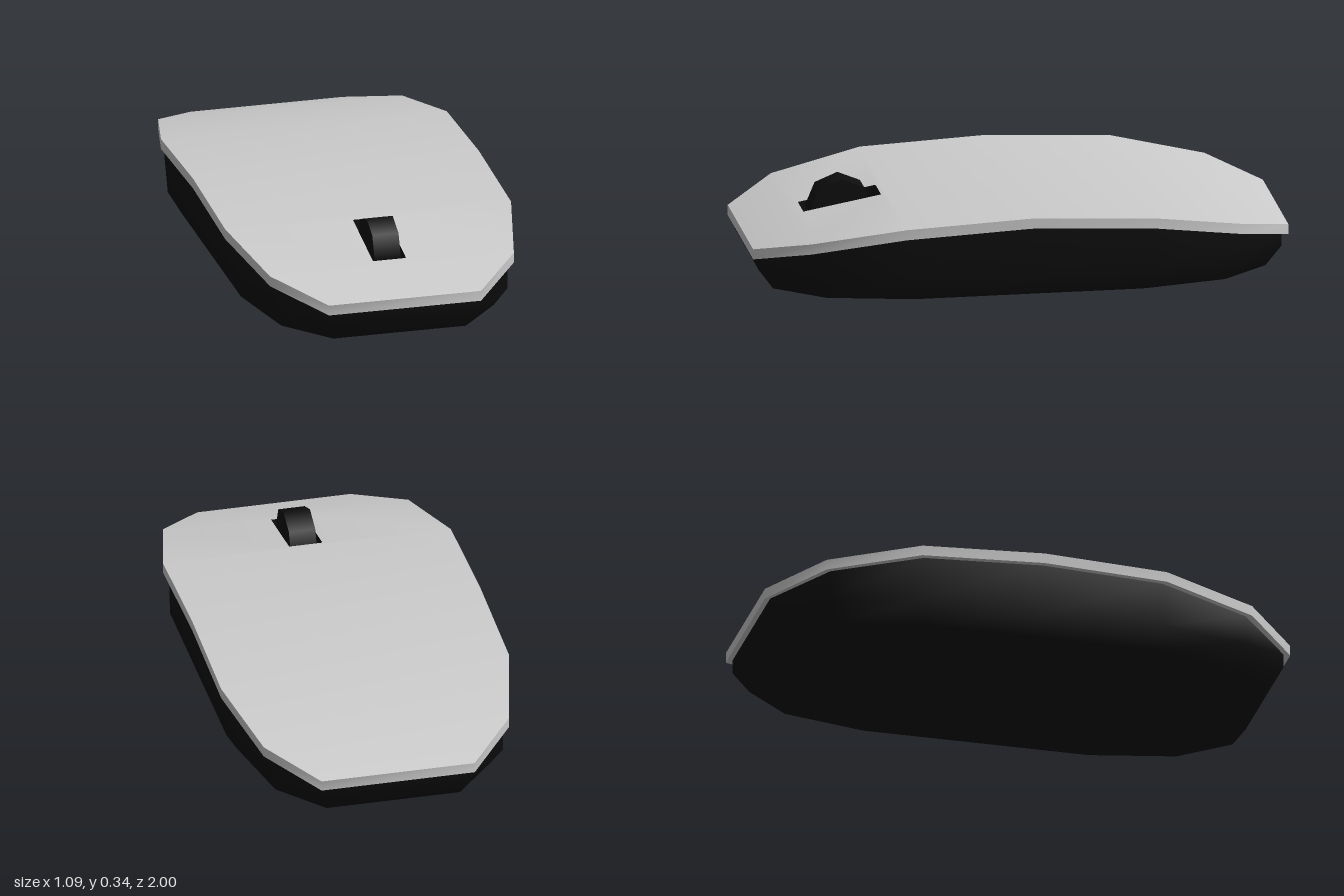
import * as THREE from 'three';
import { mergeGeometries, mergeVertices } from 'three/addons/utils/BufferGeometryUtils.js';

// plan outline: [z, half width, crown height]
const HALF = [[0, 0.545, 0.31], [0.465, 0.545, 0.288], [0.81, 0.465, 0.226], [1, 0.29, 0.165]];
const STATIONS = [...HALF.slice(1).reverse().map(([z, w, h]) => [-z, w, h]), ...HALF];
const THICK = 0.039;
const WELL = { x: 0.063, z0: 0.485, z1: 0.775 };

// crown height at a given z
function crown(z) {
  const a = Math.abs(z);
  const i = a < HALF[1][0] ? 0 : a < HALF[2][0] ? 1 : 2;
  const [z0, , h0] = HALF[i], [z1, , h1] = HALF[i + 1];
  return h0 + (h1 - h0) * (a - z0) / (z1 - z0);
}

// closed outline, scaled in x and z, with its height given by a rule
function ring(sx, sz, height) {
  const right = STATIONS.map(([z, w]) => [w * sx, z * sz]);
  const left = right.map(([x, z]) => [-x, z]).reverse();
  return [...right, ...left].map(([x, z]) => [x, height(z), z]);
}

// skin joining stacked rings, lowest first
function walls(rings) {
  const n = rings[0].length, index = [];
  for (let r = 0; r < rings.length - 1; r++) {
    for (let i = 0; i < n; i++) {
      const a = r * n + i, b = r * n + (i + 1) % n;
      index.push(a, a + n, b, b, a + n, b + n);
    }
  }
  const g = new THREE.BufferGeometry();
  g.setAttribute('position', new THREE.Float32BufferAttribute(rings.flat(2), 3));
  g.setIndex(index);
  g.computeVertexNormals();
  return g;
}

// curved sheet filling the outline, optionally pierced by the wheel well
function sheet(sx, sz, height, faceDown = false, pierced = false) {
  const parts = [];
  for (let i = 0; i < STATIONS.length - 1; i++) {
    const [z0, w0] = STATIONS[i], [z1, w1] = STATIONS[i + 1];
    const quad = (a, za, b, zb) => [[-a, za], [a, za], [b, zb], [-b, zb]]
      .map(([x, z]) => new THREE.Vector2(x, -z));
    const shape = new THREE.Shape(quad(w0 * sx, z0 * sz, w1 * sx, z1 * sz));
    if (pierced && z0 < WELL.z0 && z1 > WELL.z1) {
      shape.holes.push(new THREE.Path(quad(WELL.x, WELL.z0, WELL.x, WELL.z1)));
    }
    const g = new THREE.ShapeGeometry(shape).rotateX(-Math.PI / 2);
    const p = g.attributes.position;
    for (let k = 0; k < p.count; k++) p.setY(k, height(p.getZ(k)));
    g.deleteAttribute('normal');
    g.deleteAttribute('uv');
    parts.push(g);
  }
  const g = mergeVertices(mergeGeometries(parts), 1e-4);
  if (faceDown) g.setIndex(Array.from(g.index.array).reverse());
  g.computeVertexNormals();
  return g;
}

export function createModel() {
  const group = new THREE.Group();
  const shellGrey = new THREE.MeshStandardMaterial({ color: 0xcccccc });
  shellGrey.name = 'shell grey';
  const black = new THREE.MeshStandardMaterial({ color: 0x0e0e0e });
  black.name = 'black';
  const add = (name, geometry, material) => {
    const mesh = new THREE.Mesh(geometry, material);
    mesh.name = name;
    group.add(mesh);
    return mesh;
  };
  const under = z => crown(z) - THICK;

  // top cover: a thin arched shell with a slot for the wheel
  add('topCover', mergeGeometries([
    walls([ring(1, 1, under), ring(1, 1, crown)]),
    sheet(1, 1, crown, false, true),
    sheet(1, 1, under, true, true),
  ]), shellGrey);

  // lower body with a bevelled foot
  add('lowerBody', mergeGeometries([
    walls([ring(0.872, 0.92, () => 0), ring(0.958, 0.977, () => 0.08), ring(0.958, 0.977, under)]),
    sheet(0.958, 0.977, under),
    sheet(0.872, 0.92, () => 0, true),
  ]), black);

  // inward-facing sides of the wheel slot
  const slot = [[-WELL.x, WELL.z0], [-WELL.x, WELL.z1], [WELL.x, WELL.z1], [WELL.x, WELL.z0]];
  add('wheelSlot', walls([under, crown].map(h => slot.map(([x, z]) => [x, h(z), z]))), black);

  // eight-sided scroll wheel
  const wheel = new THREE.CylinderGeometry(0.12, 0.12, 0.1, 8).rotateZ(Math.PI / 2);
  add('scrollWheel', wheel, black).position.set(0, 0.225, 0.63);

  return group;
}
